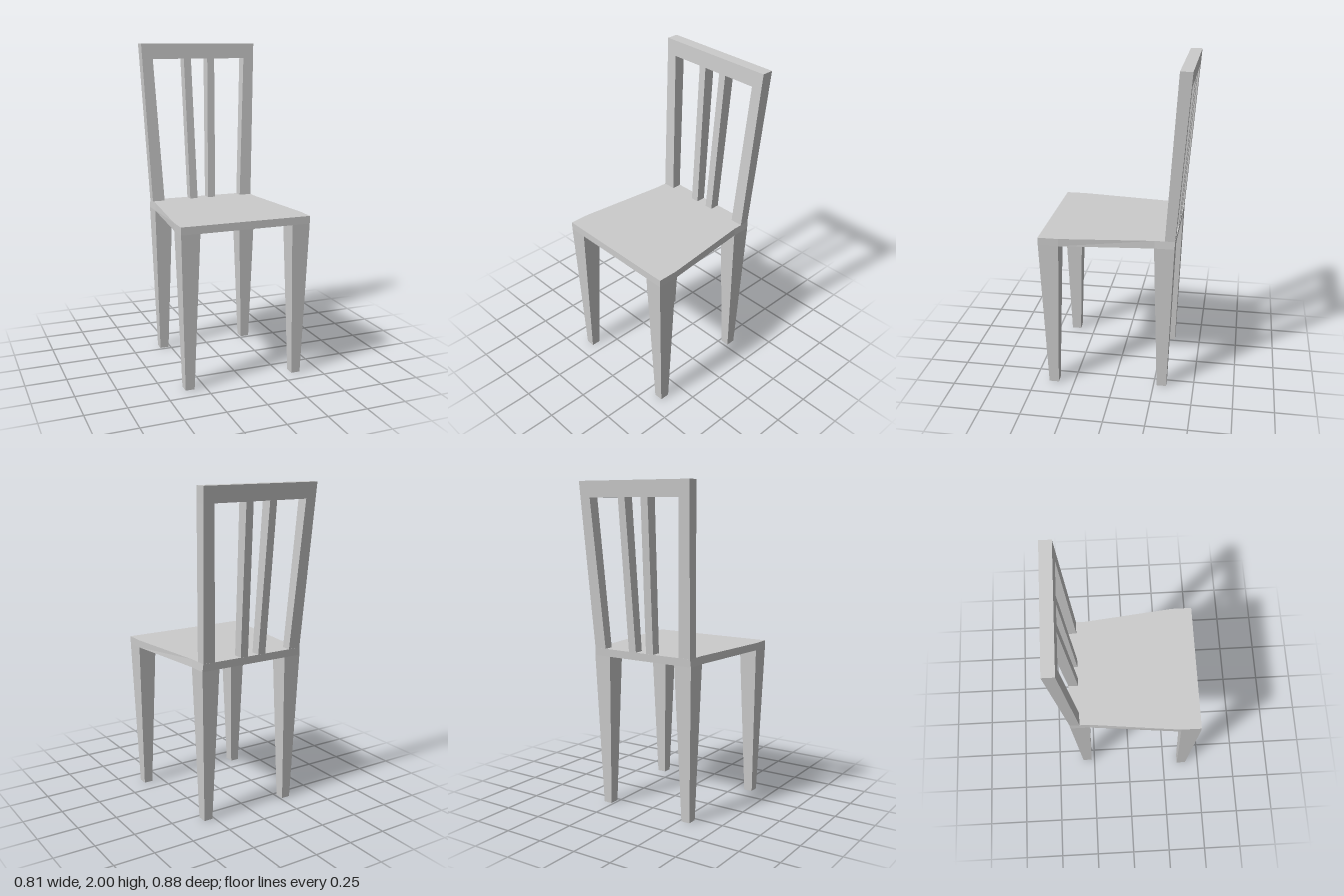
import * as THREE from 'three';

const material = new THREE.MeshStandardMaterial({ color: 0xcccccc, flatShading: true });

// Joins horizontal rings [{ y, pts: [[x, z], ...] }] from bottom to top, with flat end caps.
// Points run counter-clockwise as seen from above; each point may carry its own z.
function loft(name, rings) {
  const pos = [];
  const at = (ring, i) => {
    const [x, z] = ring.pts[i % ring.pts.length];
    return [x, ring.y, z];
  };
  const n = rings[0].pts.length;
  for (let r = 0; r < rings.length - 1; r++) {
    const lo = rings[r], hi = rings[r + 1];
    for (let i = 0; i < n; i++) {
      const a = at(lo, i), b = at(lo, i + 1), c = at(hi, i + 1), d = at(hi, i);
      pos.push(...a, ...b, ...c, ...a, ...c, ...d);
    }
  }
  const bottom = rings[0], top = rings[rings.length - 1];
  for (let i = 0; i < n; i++) {
    pos.push(0, 0, 0, ...at(bottom, i + 1), ...at(bottom, i));
    pos.splice(pos.length - 9, 3, ...centre(bottom));
    pos.push(...centre(top), ...at(top, i), ...at(top, i + 1));
  }
  const geometry = new THREE.BufferGeometry();
  geometry.setAttribute('position', new THREE.Float32BufferAttribute(pos, 3));
  geometry.computeVertexNormals();
  const mesh = new THREE.Mesh(geometry, material);
  mesh.name = name;
  return mesh;
}

function centre({ y, pts }) {
  const sum = pts.reduce((s, p) => [s[0] + p[0], s[1] + p[1]], [0, 0]);
  return [sum[0] / pts.length, y, sum[1] / pts.length];
}

// Rectangular ring, mirrored to the other side when side is -1
function rect(y, xIn, xOut, zBack, zFront, side = 1) {
  const [x0, x1] = side > 0 ? [xIn, xOut] : [-xOut, -xIn];
  return { y, pts: [[x0, zFront], [x1, zFront], [x1, zBack], [x0, zBack]] };
}

export function createModel() {
  const chair = new THREE.Group();
  chair.name = 'chair';

  const seatBottom = 0.953, seatTop = 1, railBottom = 1.905, top = 2;
  // The backrest leans backwards
  const lean = (y) => (y - seatTop) / (top - seatTop);
  const backZ = (y) => -0.365 - 0.077 * lean(y);
  const frontZ = (y) => -0.305 - 0.065 * lean(y);

  // Seat: wide front block, tapering to a narrower back block
  const seatRing = (y, front, back, zBack) => {
    const half = [[front, 0.442], [front, 0.318], [back, -0.245], [back, zBack]];
    return { y, pts: [...half, ...half.map(([x, z]) => [-x, z]).reverse()] };
  };
  chair.add(loft('seat', [
    seatRing(seatBottom, 0.404, 0.348, -0.363),
    seatRing(seatTop, 0.405, 0.344, -0.366),
  ]));

  for (const side of [1, -1]) {
    const label = side > 0 ? 'left' : 'right';

    // Tapered legs
    chair.add(loft(label + 'FrontLeg', [
      rect(0, 0.319, 0.375, 0.35, 0.41, side),
      rect(seatBottom, 0.289, 0.404, 0.318, 0.442, side),
    ]));
    chair.add(loft(label + 'BackLeg', [
      rect(0, 0.264, 0.32, -0.33, -0.27, side),
      rect(seatBottom, 0.234, 0.348, -0.363, -0.243, side),
    ]));

    // Backrest posts and slats, splaying outwards towards the top
    const upright = (name, low, high) => chair.add(loft(name, [
      rect(seatTop, ...low, backZ(seatTop), frontZ(seatTop), side),
      rect(railBottom, ...high, backZ(railBottom), frontZ(railBottom), side),
    ]));
    upright(label + 'BackPost', [0.265, 0.344], [0.311, 0.38]);
    upright(label + 'BackSlat', [0.037, 0.088], [0.056, 0.104]);
  }

  // Top rail
  chair.add(loft('topRail', [
    rect(railBottom, -0.38, 0.38, backZ(railBottom), frontZ(railBottom)),
    rect(top, -0.384, 0.384, backZ(top), frontZ(top)),
  ]));

  return chair;
}
